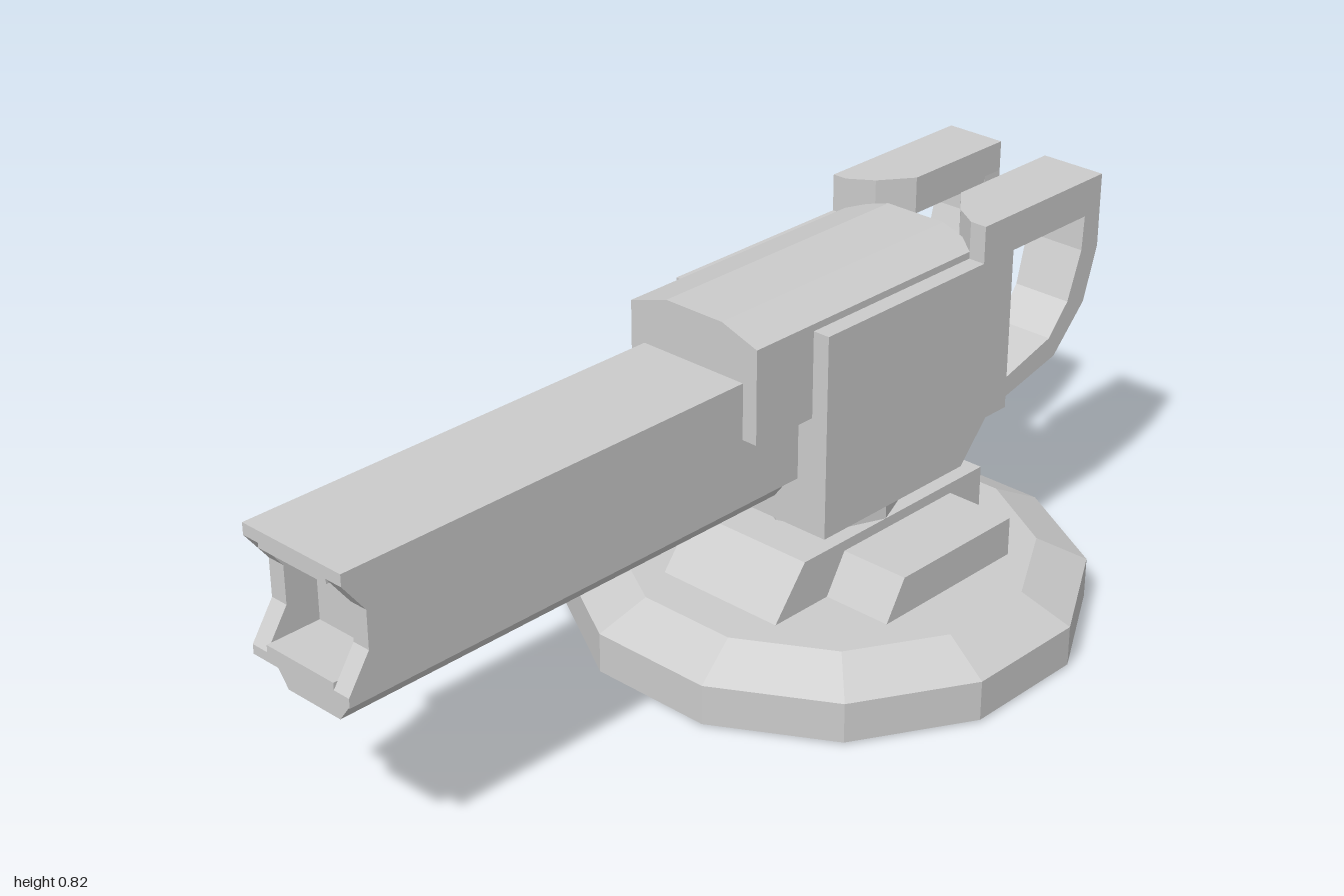
import * as THREE from 'three';

const material = new THREE.MeshStandardMaterial({ color: 0xcccccc, flatShading: true });
const openMaterial = new THREE.MeshStandardMaterial({ color: 0xcccccc, flatShading: true, side: THREE.DoubleSide });

function outline(points) {
  return new THREE.Shape(points.map(([a, b]) => new THREE.Vector2(a, b)));
}

function extrude(shape, depth) {
  return new THREE.ExtrudeGeometry(shape, { depth, bevelEnabled: false });
}

// Side outline (x, y) extruded from z0 to z1
function sideExtrude(points, z0, z1) {
  return extrude(outline(points), z1 - z0).translate(0, 0, z0);
}

// Cross-section (z, y) extruded from x0 to x1
function lengthExtrude(points, x0, x1) {
  return extrude(outline(points.map(([z, y]) => [-z, y])), x1 - x0)
    .rotateY(Math.PI / 2).translate(x0, 0, 0);
}

// Plan outline (x, z) extruded from y0 to y1
function planExtrude(points, y0, y1) {
  return extrude(outline(points.map(([x, z]) => [x, -z])), y1 - y0)
    .rotateX(-Math.PI / 2).translate(0, y0, 0);
}

function box(x0, x1, y0, y1, z0, z1) {
  return new THREE.BoxGeometry(x1 - x0, y1 - y0, z1 - z0)
    .translate((x0 + x1) / 2, (y0 + y1) / 2, (z0 + z1) / 2);
}

export function createModel() {
  const model = new THREE.Group();
  const add = (name, geometry, mat = material, parent = model) => {
    const mesh = new THREE.Mesh(geometry, mat);
    mesh.name = name;
    parent.add(mesh);
    return mesh;
  };

  // Hollow twelve-sided base, open underneath
  const baseProfile = [[0.545, 0.005], [0.545, 0.093], [0.437, 0.145], [0, 0.145]]
    .map(([r, y]) => new THREE.Vector2(r, y));
  add('base', new THREE.LatheGeometry(baseProfile, 12, Math.PI / 12), openMaterial)
    .position.set(0.36, 0, 0);

  // Crossed mounting blocks with sloping front ends
  add('longMount', sideExtrude([[0.03, 0.138], [0.675, 0.138], [0.675, 0.253], [0.12, 0.253]], -0.155, 0.15));
  add('crossMount', sideExtrude([[0.185, 0.138], [0.575, 0.138], [0.575, 0.23], [0.24, 0.23]], -0.33, 0.307));

  // Eight-sided hollow swivel post
  add('swivelPost', new THREE.CylinderGeometry(0.158, 0.158, 0.32, 8, 1, true), openMaterial)
    .position.set(0.367, 0.16, -0.008);

  // Receiver block
  add('receiver', sideExtrude([
    [0.145, 0.305], [0.57, 0.305], [0.645, 0.39], [0.71, 0.39], [0.71, 0.745], [0.145, 0.745],
  ], -0.223, 0.178));

  // Chamfered cover over the barrel root
  add('cover', lengthExtrude([
    [-0.19, 0.56], [0.14, 0.56], [0.14, 0.76], [0.05, 0.79], [-0.095, 0.79], [-0.19, 0.76],
  ], -0.015, 0.64));

  // Barrel: solid length, then a hollow muzzle with notched side walls
  const barrel = new THREE.Group();
  barrel.name = 'barrel';
  model.add(barrel);
  add('barrelBody', box(-0.88, 0.2, 0.415, 0.68, -0.155, 0.105), material, barrel);
  const notched = [
    [-1, 0.415], [-0.88, 0.415], [-0.88, 0.68], [-1, 0.68],
    [-1, 0.655], [-0.95, 0.59], [-0.95, 0.51], [-1, 0.435],
  ];
  for (const [z0, z1] of [[-0.155, -0.115], [0.065, 0.105]]) {
    add('muzzleSide', sideExtrude(notched, z0, z1), material, barrel);
  }
  for (const [y0, y1] of [[0.415, 0.45], [0.645, 0.68]]) {
    add('muzzlePlate', box(-1, -0.88, y0, y1, -0.115, 0.065), material, barrel);
  }

  // Tapered rail under the barrel
  add('underRail', lengthExtrude([
    [-0.095, 0.355], [0.045, 0.355], [0.09, 0.415], [-0.14, 0.415],
  ], -0.975, 0.2));

  // Pair of rear grips: flared top bar and a curved strap returning to the receiver
  const strap = [
    [0.7, 0.413], [0.87, 0.453], [0.963, 0.548], [1, 0.665], [1, 0.76],
    [0.95, 0.76], [0.945, 0.67], [0.907, 0.565], [0.85, 0.5], [0.7, 0.457],
  ];
  const grips = [
    { name: 'leftGrip', outer: 0.178, inner: 0.03, flare: 0.14 },
    { name: 'rightGrip', outer: -0.223, inner: -0.087, flare: -0.19 },
  ];
  for (const { name, outer, inner, flare } of grips) {
    const grip = new THREE.Group();
    grip.name = name;
    model.add(grip);
    const plan = [
      [0.615, outer], [0.615, flare], [0.65, (flare + inner) / 2], [0.72, inner], [1, inner], [1, outer],
    ];
    add('gripTop', planExtrude(plan, 0.745, 0.825), material, grip);

    // The straps lean slightly towards +z at the bottom
    const geometry = sideExtrude(strap, Math.min(outer, inner), Math.max(outer, inner));
    const p = geometry.attributes.position;
    for (let i = 0; i < p.count; i++) {
      const lean = 0.024 * (0.76 - p.getY(i)) / 0.35;
      p.setZ(i, Math.min(p.getZ(i) + lean, 0.178));
    }
    geometry.computeVertexNormals();
    add('gripStrap', geometry, material, grip);
  }

  return model;
}
